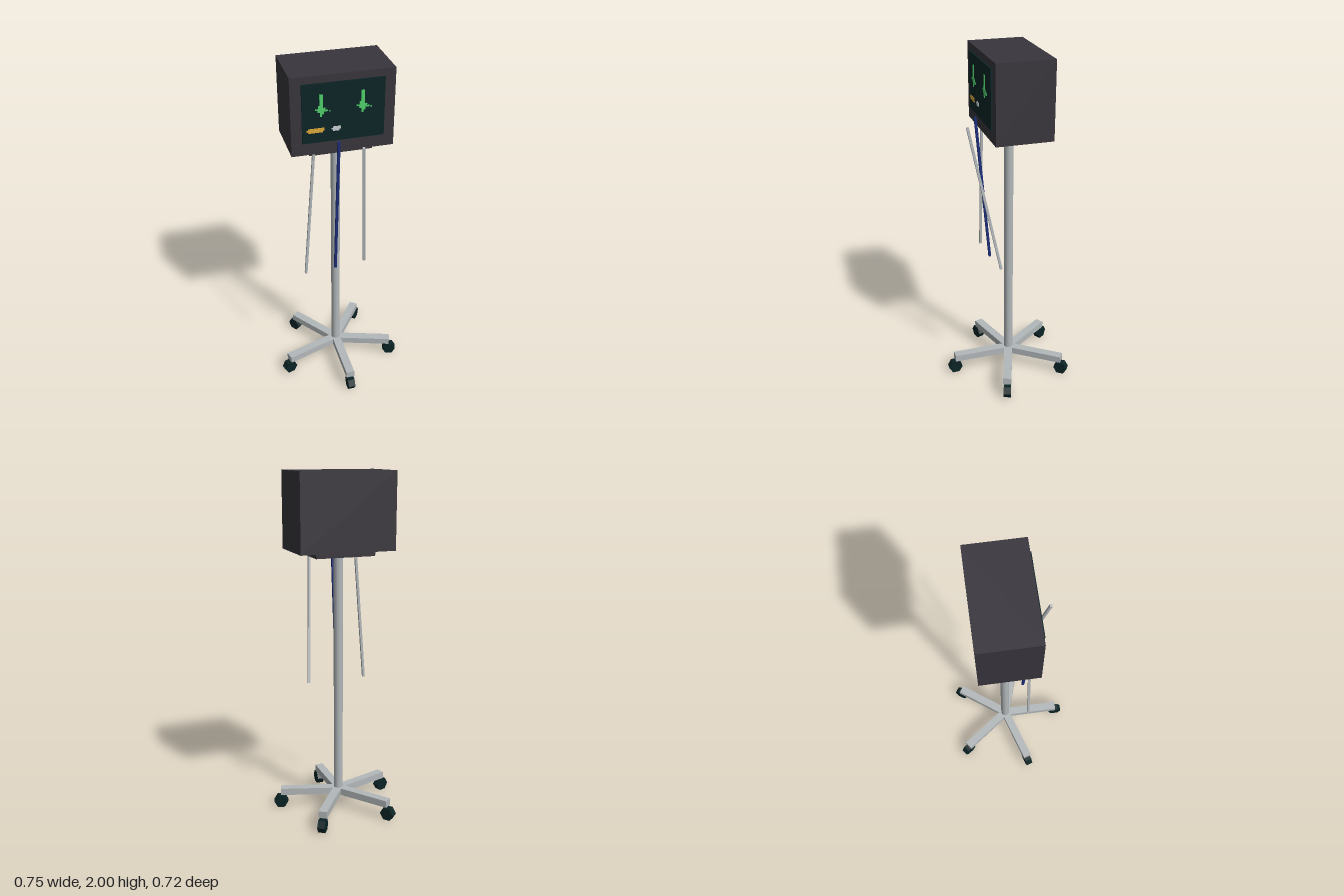
import * as THREE from 'three';

const mat = (name, color) => {
  const m = new THREE.MeshStandardMaterial({ color });
  m.name = name;
  return m;
};

export function createModel() {
  const housingMat = mat('charcoal housing', 0x38353c);
  const darkMat = mat('dark teal', 0x0c2426);
  const metalMat = mat('light grey metal', 0xb3b8ba);
  const blueMat = mat('blue cable', 0x1c2e7c);
  const greenMat = mat('green trace', 0x4fd06a);
  const amberMat = mat('amber label', 0xdca83a);
  const whiteMat = mat('pale label', 0xc9ced0);

  const root = new THREE.Group();
  root.name = 'monitorOnStand';
  const add = (name, geo, material, parent = root) => {
    const m = new THREE.Mesh(geo, material);
    m.name = name;
    parent.add(m);
    return m;
  };
  // box from its lower and upper corners
  const box = (name, material, a, b, parent) => {
    const m = add(name, new THREE.BoxGeometry(b[0] - a[0], b[1] - a[1], b[2] - a[2]), material, parent);
    m.position.set((a[0] + b[0]) / 2, (a[1] + b[1]) / 2, (a[2] + b[2]) / 2);
    return m;
  };

  // monitor housing, mounting plate and screen
  box('housing', housingMat, [-0.278, 1.565, -0.193], [0.278, 2, 0.128]);
  box('mountPlate', housingMat, [-0.174, 1.535, -0.146], [0.174, 1.566, 0.088]);
  box('screen', darkMat, [-0.22, 1.636, 0.127], [0.22, 1.96, 0.137]);

  // screen graphics: stepped spikes and labels
  const plate = (name, material, pts) => {
    const geo = new THREE.ExtrudeGeometry(new THREE.Shape(pts.map(p => new THREE.Vector2(...p))),
      { depth: 0.003, bevelEnabled: false });
    const m = add(name, geo, material);
    m.position.z = 0.1365;
    return m;
  };
  const spike = [[-0.010, 0.09], [-0.010, 0.03], [-0.018, 0.03], [-0.018, 0.012], [-0.034, 0.012],
    [-0.034, 0.004], [-0.02, 0.004], [-0.02, -0.008], [-0.008, -0.008], [-0.008, -0.032], [0.003, -0.032],
    [0.003, -0.018], [0.014, -0.018], [0.014, -0.004], [0.034, -0.004], [0.034, 0.004], [0.022, 0.004],
    [0.022, 0.016], [0.009, 0.016], [0.009, 0.09]];
  for (const [name, x] of [['leftTrace', 0.102], ['rightTrace', -0.118]]) {
    plate(name, greenMat, spike.map(([px, py]) => [x + px, 1.812 + py]).reverse());
    box(name + 'Dot', greenMat, [x + 0.041, 1.804, 0.1365], [x + 0.048, 1.812, 0.1395]);
  }
  const label = (name, material, x0, x1) => {
    const y0 = 1.693, y1 = 1.718, n = 0.008;
    plate(name, material, [[x0 + n, y0], [x1 - n, y0], [x1 - n, y0 + n], [x1, y0 + n], [x1, y1],
      [x0 + n, y1], [x0 + n, y1 - n], [x0, y1 - n], [x0, y0 + n], [x0 + n, y0 + n]]);
  };
  label('amberLabel', amberMat, -0.197, -0.104);
  label('paleLabel', whiteMat, -0.066, -0.016);

  // hanging cables, square in section
  const cable = (name, material, a, b) => {
    const from = new THREE.Vector3(...a), to = new THREE.Vector3(...b);
    const dir = to.clone().sub(from);
    const m = add(name, new THREE.BoxGeometry(0.014, dir.length(), 0.014), material);
    m.position.copy(from).add(to).multiplyScalar(0.5);
    m.quaternion.setFromUnitVectors(new THREE.Vector3(0, -1, 0), dir.normalize());
  };
  cable('rightCable', metalMat, [-0.145, 1.625, 0.088], [-0.21, 0.765, 0.088]);
  cable('blueCable', blueMat, [-0.03, 1.635, 0.156], [-0.03, 0.765, 0.08]);
  cable('leftCable', metalMat, [0.083, 1.62, 0.229], [0.152, 0.77, 0.063]);

  // pole
  const cz = -0.028;
  const pole = add('pole', new THREE.CylinderGeometry(0.027, 0.027, 1.44, 12), metalMat);
  pole.position.set(0, 0.82, cz);

  // five legs with hexagonal casters
  for (let i = 0; i < 5; i++) {
    const leg = new THREE.Group();
    leg.name = 'leg' + (i + 1);
    leg.position.z = cz;
    leg.rotation.y = i * Math.PI * 2 / 5;
    box('legBar', metalMat, [-0.025, 0.08, 0], [0.025, 0.121, 0.348], leg);
    const geo = new THREE.CylinderGeometry(0.042, 0.042, 0.042, 6).toNonIndexed();
    geo.rotateZ(Math.PI / 2);
    geo.computeVertexNormals();
    add('caster', geo, darkMat, leg).position.set(0, 0.0364, 0.348);
    root.add(leg);
  }
  return root;
}
